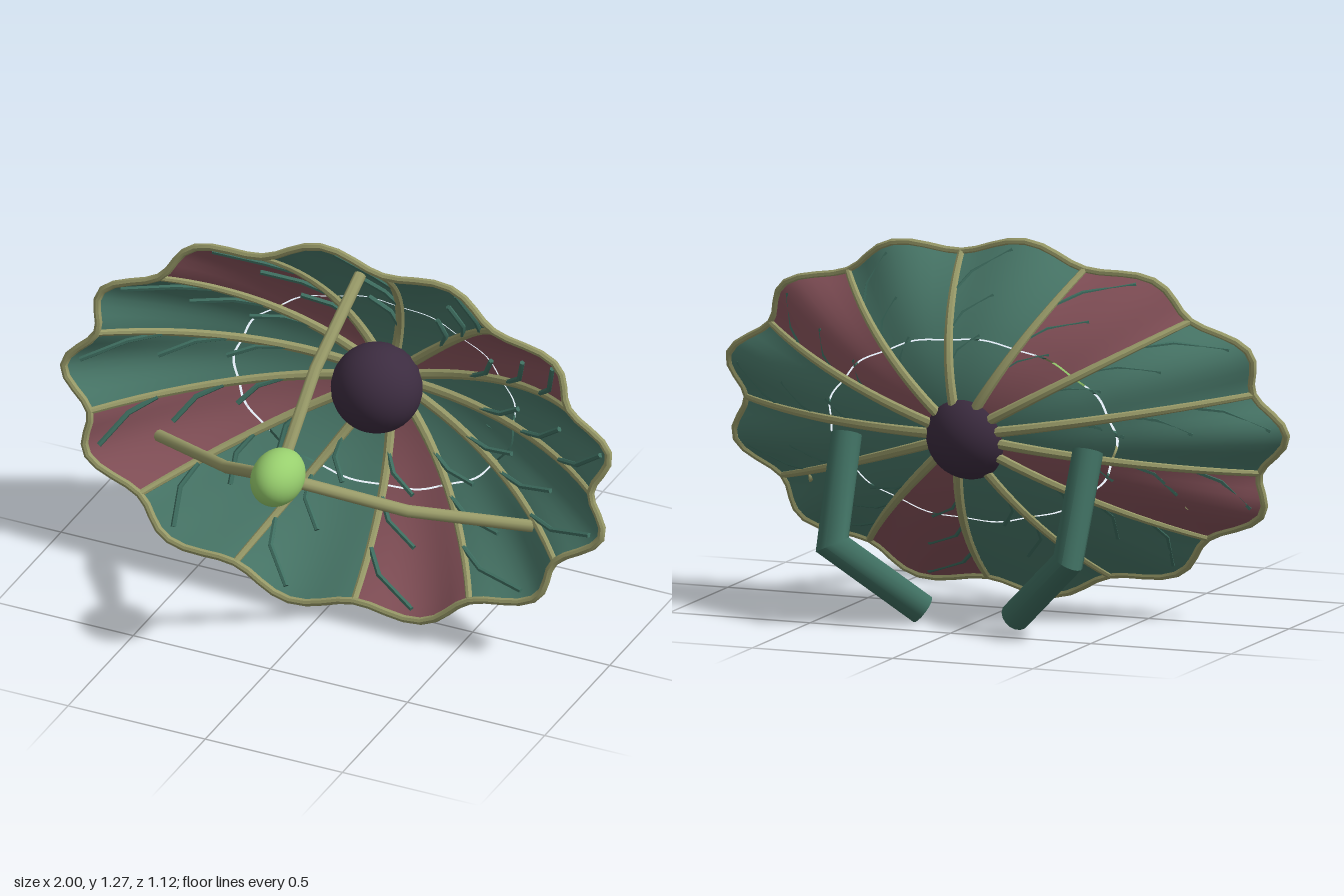
import * as THREE from 'three';
import { toCreasedNormals } from 'three/addons/utils/BufferGeometryUtils.js';

const N = 13;                       // number of panels and ribs
const STEP = (Math.PI * 2) / N;
const CX = 0.01, CY = 0.645;        // dish centre
const V = (x, y, z) => new THREE.Vector3(x, y, z);

function material(name, color, side = THREE.FrontSide) {
  const m = new THREE.MeshStandardMaterial({ color, side });
  m.name = name;
  return m;
}

// Point on the scalloped, tilted elliptical bowl: s = 0 at the hub, 1 at the rim
function bowl(s, angle, lift = 0) {
  const k = s * (1 - 0.042 * s * s * Math.cos(N * angle));
  const dy = 0.59 * k * Math.sin(angle);
  return V(CX + 0.96 * k * Math.cos(angle), CY + dy, -0.395 * (1 - s * s) - 0.2 * dy + lift);
}

// Sweeps a round section along a polyline, with mitred bends and optional taper
function sweep(points, r0, r1 = r0, sides = 10, closed = false) {
  const n = points.length, pos = [], idx = [];
  const dir = (i) => points[(i + 1) % n].clone().sub(points[i % n]).normalize();
  const bisector = (i) => {
    if (!closed && i === 0) return dir(0);
    if (!closed && i === n - 1) return dir(n - 2);
    return dir((i + n - 1) % n).add(dir(i)).normalize();
  };
  const d0 = dir(0);
  const a = V(0, 0, 1).cross(d0);
  if (a.length() < 0.1) a.set(1, 0, 0);
  a.normalize();
  const b = d0.clone().cross(a);
  const ring = [];
  for (let j = 0; j < sides; j++) {
    const t = (j / sides) * Math.PI * 2;
    ring.push(a.clone().multiplyScalar(Math.cos(t)).addScaledVector(b, Math.sin(t)));
  }
  for (let i = 0; i < n; i++) {
    const d = i === 0 ? d0 : dir(i - 1), m = bisector(i);
    const r = THREE.MathUtils.lerp(r0, r1, i / (n - 1));
    for (const v of ring) {
      v.addScaledVector(d, -v.dot(m) / d.dot(m));
      pos.push(points[i].x + v.x * r, points[i].y + v.y * r, points[i].z + v.z * r);
    }
  }
  for (let i = 0; i < (closed ? n : n - 1); i++) {
    for (let j = 0; j < sides; j++) {
      const k = (j + 1) % sides, p = i * sides, q = ((i + 1) % n) * sides;
      idx.push(p + j, p + k, q + j, p + k, q + k, q + j);
    }
  }
  if (!closed) {
    const last = (n - 1) * sides;
    for (let j = 1; j < sides - 1; j++) {
      idx.push(0, j + 1, j, last, last + j, last + j + 1);
    }
  }
  const g = new THREE.BufferGeometry();
  g.setAttribute('position', new THREE.Float32BufferAttribute(pos, 3));
  g.setIndex(idx);
  return toCreasedNormals(g, 0.75);
}

// One curved panel between two ribs
function panel(i, s0, s1, rows) {
  const cols = 10, pos = [], idx = [];
  for (let r = 0; r <= rows; r++) {
    for (let c = 0; c <= cols; c++) {
      pos.push(...bowl(s0 + ((s1 - s0) * r) / rows, (i + c / cols) * STEP).toArray());
    }
  }
  for (let r = 0; r < rows; r++) {
    for (let c = 0; c < cols; c++) {
      const p = r * (cols + 1) + c, q = p + cols + 1;
      idx.push(p, q, p + 1, q, q + 1, p + 1);
    }
  }
  const g = new THREE.BufferGeometry();
  g.setAttribute('position', new THREE.Float32BufferAttribute(pos, 3));
  g.setIndex(idx);
  g.computeVertexNormals();
  return g;
}

export function createModel() {
  const model = new THREE.Group();
  model.name = 'petalDish';
  const teal = material('teal panel', 0x4a7a6b, THREE.DoubleSide);
  const red = material('dusky red panel', 0x86525a, THREE.DoubleSide);
  const darkTeal = material('dark teal', 0x3f6f61);
  const olive = material('olive stem', 0x989a68);
  const plum = material('dark plum', 0x3c2c40);
  const lime = material('lime bulb', 0x98cf6e);

  const add = (name, geometry, mat, parent = model) => {
    const mesh = new THREE.Mesh(geometry, mat);
    mesh.name = name;
    parent.add(mesh);
    return mesh;
  };
  const group = (name) => {
    const g = new THREE.Group();
    g.name = name;
    model.add(g);
    return g;
  };

  // Panels in an inner and an outer ring with a narrow slit between, plus ribs and veins
  const panels = group('panels'), ribs = group('ribs'), veins = group('veins');
  for (let i = 0; i < N; i++) {
    const mat = i % 3 === 1 ? red : teal;
    add('innerPanel', panel(i, 0.08, 0.527, 8), mat, panels);
    add('outerPanel', panel(i, 0.535, 1, 9), mat, panels);

    const path = [];
    for (let k = 0; k <= 12; k++) path.push(bowl(0.1 + (0.9 * k) / 12, i * STEP));
    add('rib', sweep(path, 0.019, 0.012, 8), olive, ribs);

    for (const s of [0.38, 0.58, 0.79]) {
      const at = (ds, deg) => bowl(s + ds, i * STEP + THREE.MathUtils.degToRad(deg), 0.008);
      add('vein', sweep([at(0, 0.5), at(0.09, 4), at(0.17, 12)], 0.009, 0.009, 6), darkTeal, veins);
    }
  }

  // Scalloped rim
  const rim = [];
  for (let k = 0; k < N * 8; k++) rim.push(bowl(1, (k / 8) * STEP));
  add('rim', sweep(rim, 0.013, 0.013, 8, true), olive);

  // Hub
  add('hub', new THREE.SphereGeometry(0.152, 32, 20), plum).position.set(0, 0.64, -0.318);

  // Bulb on three bent struts
  const bulb = add('bulb', new THREE.SphereGeometry(1, 32, 20), lime);
  bulb.scale.set(0.085, 0.093, 0.117);
  bulb.position.set(0, 0.705, 0.442);
  const tip = V(0, 0.705, 0.44);
  add('topStrut', sweep([tip, V(0, 0.965, 0.155), V(0, 1.14, -0.19)], 0.021), olive);
  for (const side of [-1, 1]) {
    add('sideStrut', sweep([tip, V(side * 0.33, 0.5, 0.145), V(side * 0.68, 0.41, -0.08)], 0.021), olive);
  }

  // Bent legs behind the dish
  for (const side of [-1, 1]) {
    const path = [V(side * 0.43, 0.615, -0.355), V(side * 0.42, 0.27, -0.503), V(side * 0.165, 0.042, -0.34)];
    add(side > 0 ? 'leftLeg' : 'rightLeg', sweep(path, 0.051, 0.051, 16), darkTeal);
  }
  return model;
}
